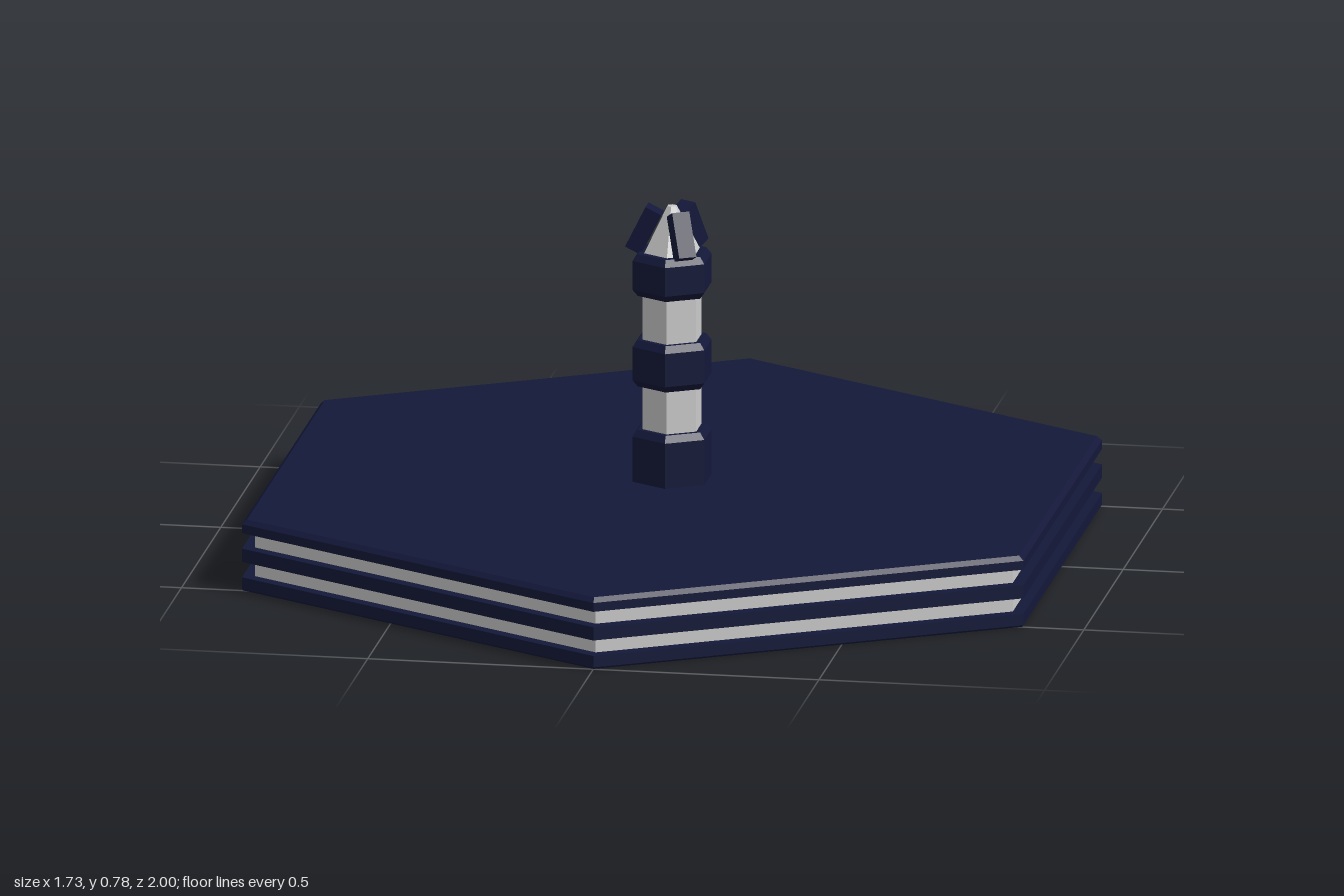
import * as THREE from 'three';

const navy = new THREE.MeshStandardMaterial({ color: 0x14183a, flatShading: true });
const grey = new THREE.MeshStandardMaterial({ color: 0xcccccc, flatShading: true });

// Solid six-sided turning from [radius, y] pairs, bottom to top, with a corner on +z
function hex(name, material, profile) {
  const closed = [[0, profile[0][1]], ...profile, [0, profile[profile.length - 1][1]]];
  const geometry = new THREE.LatheGeometry(closed.map(([r, y]) => new THREE.Vector2(r, y)), 6);
  const mesh = new THREE.Mesh(geometry, material);
  mesh.name = name;
  return mesh;
}

export function createModel() {
  const model = new THREE.Group();
  model.name = 'hexBaseWithColumn';

  // Base: pale core between three dark plates
  model.add(hex('baseCore', grey, [[0.97, 0.01], [0.97, 0.15]]));
  model.add(hex('bottomPlate', navy, [[0.997, 0], [1, 0.004], [1, 0.03]]));
  model.add(hex('middlePlate', navy, [[1, 0.065], [1, 0.095]]));
  model.add(hex('topPlate', navy, [[1, 0.13], [1, 0.15], [0.988, 0.16]]));

  // Column: pale shaft with bevelled collars
  model.add(hex('shaft', grey, [[0.069, 0.15], [0.069, 0.62]]));
  model.add(hex('lowerCollar', navy, [[0.092, 0.155], [0.092, 0.262], [0.08, 0.277]]));
  model.add(hex('middleCollar', navy, [[0.08, 0.375], [0.092, 0.39], [0.092, 0.465], [0.08, 0.48]]));
  model.add(hex('upperCollar', navy, [[0.08, 0.58], [0.092, 0.595], [0.092, 0.66], [0.08, 0.675]]));

  // Pointed tip, with three slanted fins over alternate faces
  model.add(hex('tip', grey, [[0.07, 0.665], [0.011, 0.777]]));
  for (let i = 0; i < 3; i++) {
    const pivot = new THREE.Group();
    pivot.name = 'fin' + (i + 1);
    pivot.rotation.y = Math.PI / 3 + i * Math.PI * 2 / 3;
    const fin = new THREE.Mesh(new THREE.BoxGeometry(0.038, 0.102, 0.04), navy);
    fin.name = 'finBlade';
    fin.position.set(0.061, 0.722, 0);
    fin.rotation.z = 0.46;
    pivot.add(fin);
    model.add(pivot);
  }
  return model;
}
